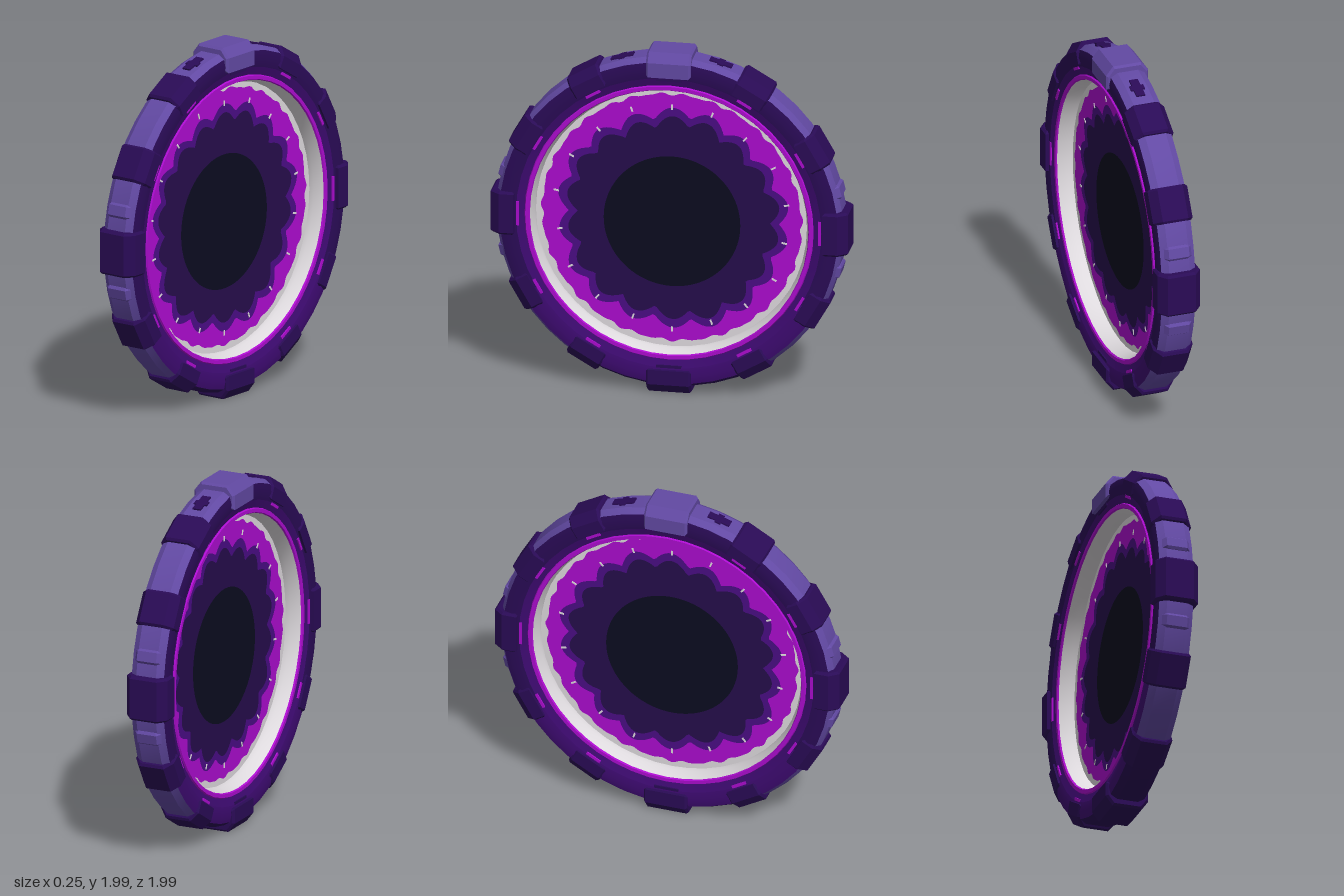
import * as THREE from 'three';
import { toCreasedNormals } from 'three/addons/utils/BufferGeometryUtils.js';

const material = (name, color, side = THREE.FrontSide) => {
  const m = new THREE.MeshStandardMaterial({ color, side });
  m.name = name;
  return m;
};
const RAD = Math.PI / 180;

export function createModel() {
  const paleWhite = material('pale white', 0xdedade, THREE.DoubleSide);
  const magenta = material('magenta', 0xac0ccf, THREE.DoubleSide);
  const violet = material('violet', 0x4a0d85, THREE.DoubleSide);
  const indigo = material('indigo', 0x260d4c, THREE.DoubleSide);
  const nearBlack = material('near black', 0x0b0c20, THREE.DoubleSide);
  const darkPurple = material('dark purple', 0x2a0b56);
  const purple = material('purple', 0x3d0a70);
  const lavender = material('lavender', 0x6249a3);

  const group = new THREE.Group();
  group.name = 'portal';
  const ring = new THREE.Group();
  ring.name = 'ring';
  ring.position.y = 1;
  group.add(ring);

  const add = (geometry, mat, name) => {
    const mesh = new THREE.Mesh(geometry, mat);
    mesh.name = name;
    ring.add(mesh);
    return mesh;
  };

  // Swept band of [radius, x] points; angle 0 is +z and 90 is up
  const band = (points, mat, name, from = 0, to = 360) => {
    const g = new THREE.LatheGeometry(
      points.map(([r, x]) => new THREE.Vector2(r, x)),
      Math.round((to - from) / 7.5), from * RAD, (to - from) * RAD);
    g.rotateZ(Math.PI / 2);
    add(toCreasedNormals(g, 0.5), mat, name);
  };
  const bothSides = (points, ...rest) => {
    band(points, ...rest);
    band(points.map(([r, x]) => [r, -x]).reverse(), ...rest);
  };

  // Ring body: inner wall, bright rim, sloped faces and outer tread
  band([[0.775, 0.085], [0.757, 0.03], [0.757, -0.03], [0.775, -0.085]], paleWhite, 'innerWall');
  bothSides([[0.805, 0.085], [0.8, 0.094], [0.78, 0.094], [0.775, 0.085]], magenta, 'rim');
  bothSides([[0.85, 0.1], [0.805, 0.085]], purple, 'innerFace');
  const face = [[0.942, 0.098], [0.9, 0.108], [0.85, 0.1]];
  bothSides(face, darkPurple, 'upperFace', -30, 210);
  bothSides(face, purple, 'lowerFace', 210, 330);
  const tread = [[0.942, -0.098], [0.965, -0.06], [0.965, 0.06], [0.942, 0.098]];
  band(tread, lavender, 'tread', -60, 240);
  band(tread, darkPurple, 'lowerTread', 240, 300);

  // Turn a part built at the top of the ring to its place
  const place = (g, angle, mat, name) => add(g.rotateX((90 - angle) * RAD), mat, name);

  // Chamfered block that wraps over the ring
  const block = (angle, halfWidth, inner, outer, halfLength, mat, name) => {
    const b = 0.012;
    const w = halfWidth - b, top = outer - b;
    const s = new THREE.Shape([
      [-w, inner], [w, inner], [w, top - 0.045], [w - 0.035, top], [-w + 0.035, top], [-w, top - 0.045],
    ].map(([x, y]) => new THREE.Vector2(x, y)));
    const depth = 2 * (halfLength - b);
    const g = new THREE.ExtrudeGeometry(s, {
      depth, bevelEnabled: true, bevelSize: b, bevelThickness: b, bevelSegments: 1,
    });
    g.translate(0, 0, -depth / 2);
    place(g, angle, mat, name);
  };

  for (let angle = 0; angle < 360; angle += 30) {
    const big = angle % 90 === 0;
    block(angle, big ? 0.123 : 0.115, 0.87, big ? 0.995 : 0.982, big ? 0.125 : 0.1,
      angle === 90 ? lavender : darkPurple, big ? 'largeBlock' : 'smallBlock');
    // Inlaid slot below each block, on both faces
    for (const side of [-1, 1]) {
      const slot = new THREE.BoxGeometry(0.008, 0.016, big ? 0.14 : 0.09);
      slot.translate(side * 0.099, 0.841, 0);
      place(slot, angle, angle % 180 === 90 ? darkPurple : magenta, 'slot');
    }
  }

  // Raised pads beside the side blocks
  for (const angle of [-14, 14, 166, 194]) {
    block(angle, 0.1, 0.9, 0.978, 0.04, lavender, 'pad');
  }

  // Dark plates on the tread beside the top block
  for (const angle of [73.5, 106.5]) {
    for (const [w, l] of [[0.05, 0.13], [0.08, 0.035]]) {
      const plate = new THREE.BoxGeometry(w, 0.009, l);
      plate.translate(0, 0.967, 0);
      place(plate, angle, darkPurple, 'treadPlate');
    }
  }

  // Disc: nested flat layers whose edges meet exactly
  const outline = (radius, dy = 0) => {
    const pts = [];
    for (let i = 0; i < 240; i++) {
      const a = (i / 240) * 2 * Math.PI;
      const r = radius(a);
      pts.push(new THREE.Vector2(r * Math.cos(a), r * Math.sin(a) + dy));
    }
    return pts;
  };
  const lobes = (base, height) => (a) =>
    base + height * Math.abs(Math.sin(9 * a)) + 0.012 * Math.sin(5 * a + 1) - 0.01 * Math.sin(a);
  const edges = [
    outline(() => 0.38, -0.025),
    outline(lobes(0.535, 0.06)),
    outline(lobes(0.585, 0.06)),
    outline((a) => 0.722 + 0.006 * Math.sin(31 * a) + 0.004 * Math.sin(47 * a)),
    outline(() => 0.76),
  ];
  const layers = [
    [nearBlack, 'discCentre'], [indigo, 'discInner'], [violet, 'discFringe'],
    [magenta, 'discOuter'], [paleWhite, 'discEdge'],
  ];
  layers.forEach(([mat, name], i) => {
    const shape = new THREE.Shape(edges[i]);
    if (i) shape.holes.push(new THREE.Path(edges[i - 1]));
    add(new THREE.ShapeGeometry(shape).rotateY(Math.PI / 2), mat, name);
  });

  // Pale sparks between the lobes
  for (let i = 0; i < 18; i++) {
    const spark = new THREE.BoxGeometry(0.006, 0.03, 0.01);
    spark.translate(0, 0.645 + 0.012 * Math.sin(i * 2.3), 0);
    place(spark, 90 + i * 20, paleWhite, 'spark');
  }

  return group;
}
